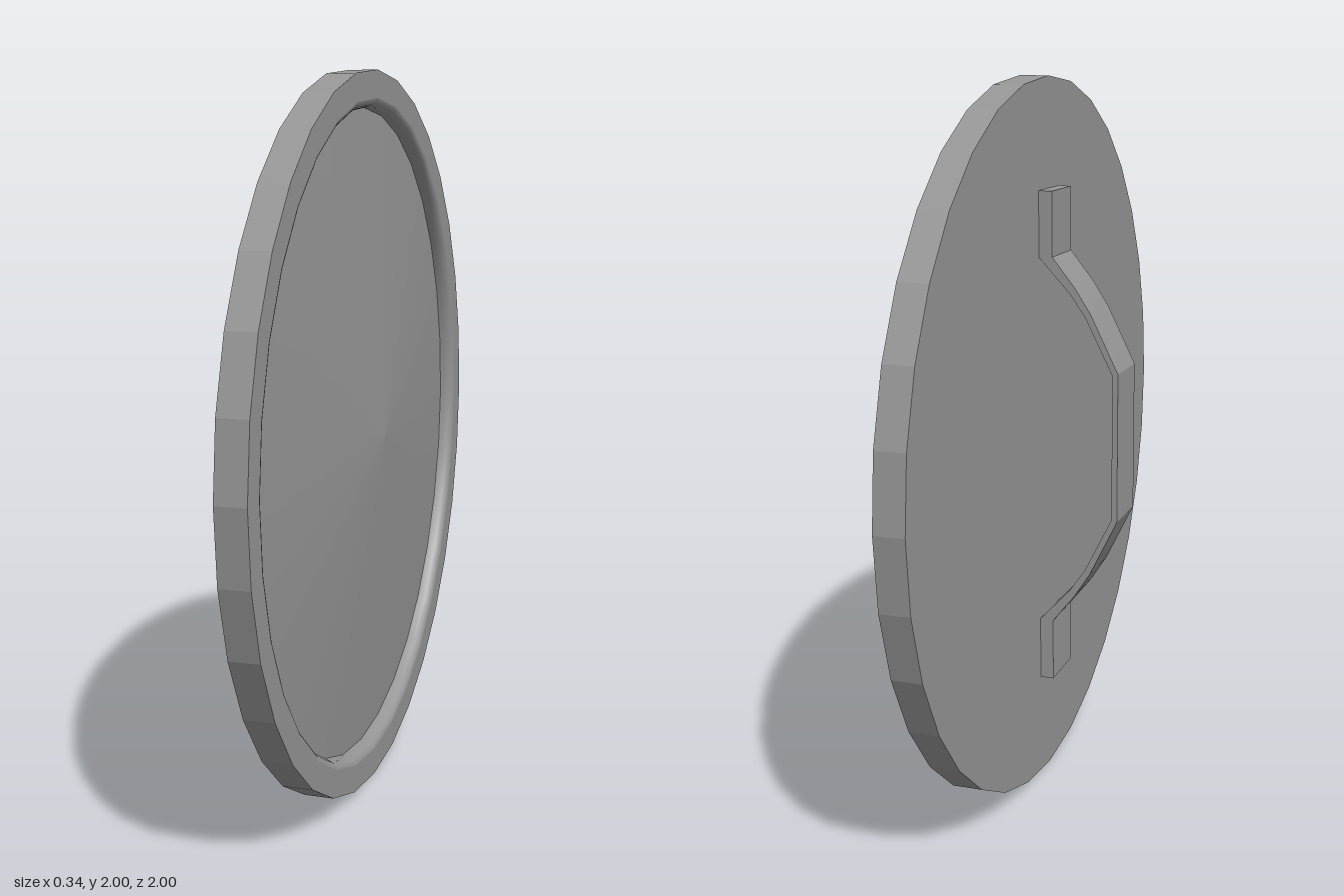
import * as THREE from 'three';
import { toCreasedNormals } from 'three/addons/utils/BufferGeometryUtils.js';

const SEGMENTS = 32;

export function createModel() {
  const model = new THREE.Group();
  model.name = 'roundShield';
  const metal = new THREE.MeshStandardMaterial({ color: 0x969696 });
  metal.name = 'grey metal';

  const add = (name, geometry) => {
    const mesh = new THREE.Mesh(geometry, metal);
    mesh.name = name;
    model.add(mesh);
    return mesh;
  };

  // Turned profile of [radius, x], spun about the x axis at the shield's centre
  const turned = (profile) => {
    const points = profile.map(([r, x]) => new THREE.Vector2(r, x));
    return new THREE.LatheGeometry(points, SEGMENTS).rotateZ(-Math.PI / 2).translate(0, 1, 0);
  };

  // Flat back, faceted edge and flat front border
  add('rim', toCreasedNormals(turned([[0, 0.058], [1, 0.058], [1, 0.14], [0.925, 0.14]]), 0.19));

  // Rounded lip rolling inward from the border
  const lip = [];
  for (let i = 0; i <= 5; i++) {
    const a = (i / 5) * Math.PI / 2;
    lip.push([0.9 + 0.025 * Math.cos(a), 0.1 + 0.04 * Math.cos(Math.PI / 2 - a - Math.PI / 2)]);
  }
  lip.forEach((p, i) => {
    const a = (i / 5) * Math.PI / 2;
    p[0] = 0.925 - 0.025 * Math.sin(a);
    p[1] = 0.1 + 0.04 * Math.cos(a);
  });
  add('innerLip', turned(lip));

  // Shallow dome filling the face
  add('domedFace', turned([[0.9, 0.1], [0.8, 0.108], [0.6, 0.124], [0.38, 0.14], [0.2, 0.154], [0, 0.168]]));

  // Plate shape extruded across the width of the handle
  const plate = (points, width) => {
    const shape = new THREE.Shape(points.map(([x, y]) => new THREE.Vector2(x, y)));
    return new THREE.ExtrudeGeometry(shape, { depth: width, bevelEnabled: false }).translate(0, 0, -width / 2);
  };

  // Bent strap, mirrored about the shield's mid height
  const outer = [[0.03, 0.535], [-0.045, 0.44], [-0.09, 0.37], [-0.168, 0.21]];
  const inner = [[0.058, 0.52], [-0.03, 0.425], [-0.075, 0.36], [-0.152, 0.205]];
  const up = ([x, y]) => [x, 1 + y];
  const down = ([x, y]) => [x, 1 - y];
  add('handleStrap', toCreasedNormals(plate([
    ...outer.map(up),
    ...[...outer].reverse().map(down),
    ...inner.map(down),
    ...[...inner].reverse().map(up),
  ], 0.164), 0.35));

  // Mounting pads at both ends of the strap
  for (const side of [1, -1]) {
    const pad = add(side > 0 ? 'upperHandlePad' : 'lowerHandlePad', new THREE.BoxGeometry(0.038, 0.18, 0.164));
    pad.position.set(0.039, 1 + side * 0.61, 0);
  }
  return model;
}
